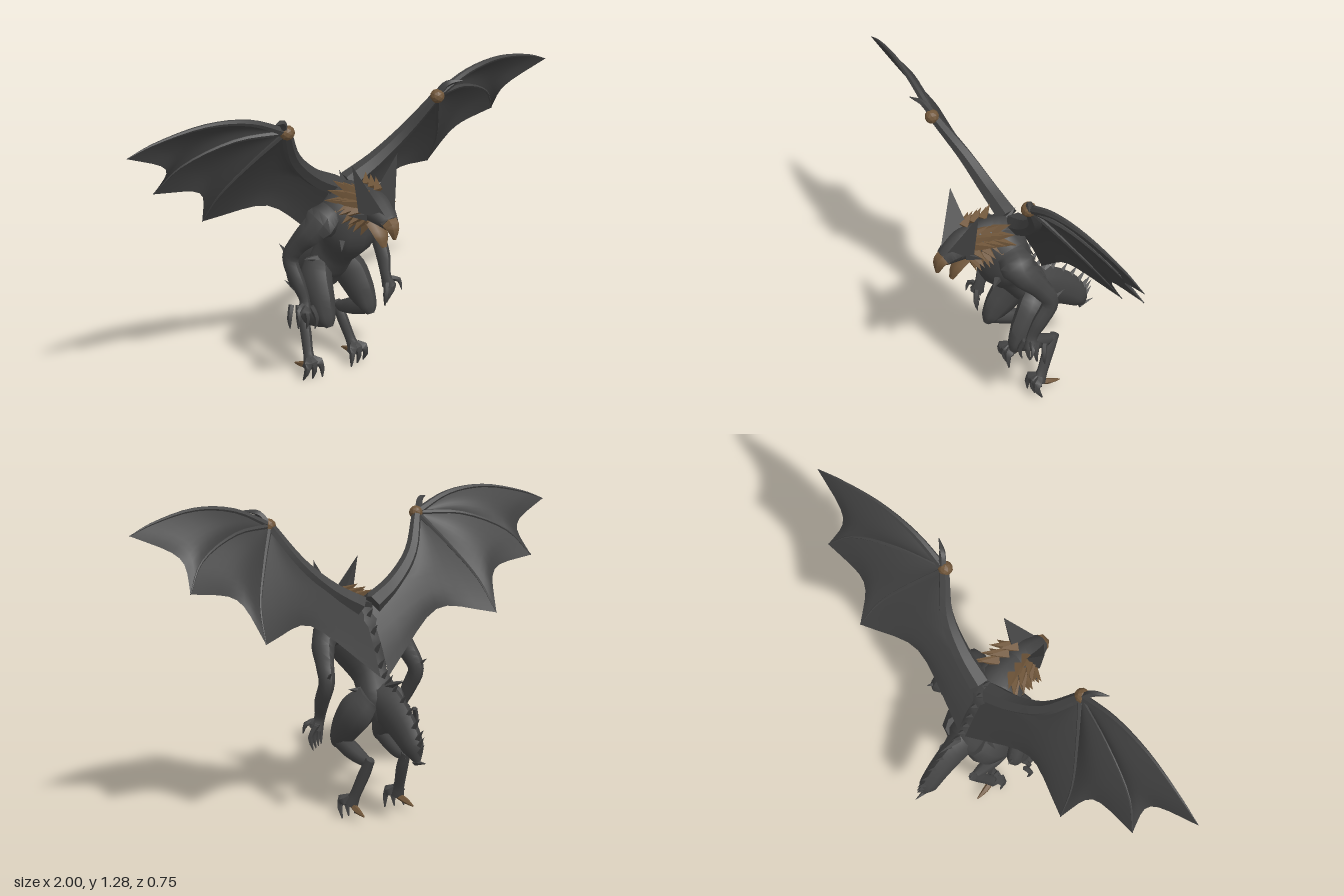
import * as THREE from 'three';
import { toCreasedNormals } from 'three/addons/utils/BufferGeometryUtils.js';
import { ConvexGeometry } from 'three/addons/geometries/ConvexGeometry.js';

const V = (p) => new THREE.Vector3(p[0], p[1], p[2]);

export function createModel() {
  const model = new THREE.Group();
  const paint = (name, color) => Object.assign(new THREE.MeshStandardMaterial({ color }), { name });
  const hide = paint('charcoal hide', 0x444444);
  const horn = paint('brown horn', 0x70563a);
  const skin = paint('wing skin', 0x404040);
  skin.side = THREE.DoubleSide;

  const add = (name, geo, mat, parent = model) => {
    const mesh = new THREE.Mesh(geo, mat);
    mesh.name = name;
    parent.add(mesh);
    return mesh;
  };

  // Tapered limb through sections [x, y, z, sideRadius, depthRadius]
  function limb(name, sections, mat, parent, { sides = 8, steps = 4, ref = [1, 0, 0] } = {}) {
    const path = new THREE.CatmullRomCurve3(sections.map(V));
    const radii = new THREE.CatmullRomCurve3(sections.map((s) => new THREE.Vector3(s[3], s[4] ?? s[3], 0)));
    const rows = (sections.length - 1) * steps;
    const pos = [], idx = [];
    for (let i = 0; i <= rows; i++) {
      const u = i / rows, c = path.getPoint(u), r = radii.getPoint(u), t = path.getTangent(u);
      const s = V(ref).addScaledVector(t, -V(ref).dot(t)).normalize();
      const w = t.clone().cross(s);
      for (let j = 0; j < sides; j++) {
        const a = (j / sides) * Math.PI * 2;
        const p = c.clone().addScaledVector(s, Math.cos(a) * r.x).addScaledVector(w, Math.sin(a) * r.y);
        pos.push(p.x, p.y, p.z);
        if (i < rows) {
          const k = (j + 1) % sides, A = i * sides;
          idx.push(A + j, A + k, A + sides + j, A + k, A + sides + k, A + sides + j);
        }
      }
    }
    for (let j = 1; j < sides - 1; j++) {
      const e = rows * sides;
      idx.push(0, j + 1, j, e, e + j, e + j + 1);
    }
    const geo = new THREE.BufferGeometry();
    geo.setAttribute('position', new THREE.Float32BufferAttribute(pos, 3));
    geo.setIndex(idx);
    return add(name, toCreasedNormals(geo, 0.9), mat, parent);
  }

  // Sharp four-sided spike between two points
  function spike(name, from, to, r, mat, parent) {
    const a = V(from), d = V(to).sub(a), len = d.length();
    const geo = new THREE.ConeGeometry(r, len, 4).translate(0, len / 2, 0);
    const mesh = add(name, toCreasedNormals(geo, 0.3), mat, parent);
    mesh.position.copy(a);
    mesh.quaternion.setFromUnitVectors(new THREE.Vector3(0, 1, 0), d.normalize());
  }

  // Wing skin stretched between two curves that start at the same joint
  function web(name, A, B, pull, parent) {
    const n = 12, m = 8, pos = [], idx = [], joint = A.getPoint(0);
    for (let i = 0; i <= n; i++) for (let j = 0; j <= m; j++) {
      const s = i / n, t = j / m, bow = Math.sin(Math.PI * t);
      const p = A.getPoint(s).lerp(B.getPoint(s), t).lerp(joint, pull * bow * s);
      p.z -= 0.02 * bow * Math.sin(Math.PI * s);
      pos.push(p.x, p.y, p.z);
      if (i < n && j < m) {
        const a = i * (m + 1) + j, b = a + m + 1;
        idx.push(a, b, a + 1, a + 1, b, b + 1);
      }
    }
    const geo = new THREE.BufferGeometry();
    geo.setAttribute('position', new THREE.Float32BufferAttribute(pos, 3));
    geo.setIndex(idx);
    geo.computeVertexNormals();
    add(name, geo, skin, parent);
  }

  // Torso, neck and tail
  limb('torso', [
    [0, 0.86, 0.1, 0.06, 0.05], [0, 0.78, 0.09, 0.13, 0.1], [0, 0.68, 0.07, 0.125, 0.115],
    [0, 0.57, 0.0, 0.065, 0.085], [0, 0.48, -0.06, 0.085, 0.08], [0, 0.4, -0.08, 0.05, 0.05],
  ], hide, model, { sides: 12 });
  limb('neck', [[0, 0.79, 0.05, 0.09, 0.08], [0, 0.82, 0.13, 0.075, 0.07], [0, 0.82, 0.23, 0.06, 0.06]], hide, model);
  limb('tail', [
    [0, 0.5, -0.04, 0.07, 0.08], [0, 0.46, -0.13, 0.055, 0.085], [0, 0.4, -0.22, 0.046, 0.075],
    [0, 0.33, -0.29, 0.038, 0.052], [0, 0.275, -0.32, 0.008, 0.012],
  ], hide, model);
  spike('tailSpur', [0, 0.275, -0.3], [0, 0.285, -0.375], 0.014, hide);

  // Ridge of spines down the back and tail
  const ridge = new THREE.CatmullRomCurve3([
    [0, 0.87, 0.04], [0, 0.74, -0.03], [0, 0.6, -0.08], [0, 0.535, -0.13], [0, 0.465, -0.24], [0, 0.38, -0.32], [0, 0.32, -0.33],
  ].map(V));
  for (let i = 0; i < 14; i++) {
    const u = i / 13, p = ridge.getPoint(u), l = u < 0.45 ? 0.045 : 0.085 - 0.035 * u;
    spike('spine', [0, p.y - 0.015, p.z + 0.015], [0, p.y + l * 0.75, p.z - l * 0.6], 0.018, hide);
  }
  spike('rumpSpine', [0, 0.54, -0.1], [0, 0.585, -0.23], 0.02, hide);

  // Head, beak and jaw
  limb('head', [
    [0, 0.83, 0.17, 0.05, 0.05], [0, 0.825, 0.24, 0.07, 0.06], [0, 0.805, 0.3, 0.055, 0.045], [0, 0.785, 0.34, 0.038, 0.03],
  ], hide, model);
  limb('beak', [[0, 0.79, 0.325, 0.042, 0.032], [0, 0.775, 0.352, 0.034, 0.028], [0, 0.725, 0.367, 0.006, 0.008]], horn, model, { sides: 6 });
  limb('jaw', [[0, 0.76, 0.24, 0.042, 0.02], [0, 0.715, 0.285, 0.034, 0.018], [0, 0.672, 0.305, 0.012, 0.01]], horn, model, { sides: 6 });

  for (const s of [1, -1]) {
    const side = new THREE.Group();
    side.name = s > 0 ? 'leftSide' : 'rightSide';
    model.add(side);
    const M = (list) => list.map(([x, ...rest]) => [x * s, ...rest]);
    const part = (name, list, mat = hide, opt) => limb(name, M(list), mat, side, opt);
    const thorn = (name, a, b, r, mat = hide) => spike(name, ...M([a, b]), r, mat, side);

    // Blade ear and cheek thorn
    add('ear', new ConvexGeometry(M([
      [0.015, 0.8, 0.345], [0.11, 1.015, 0.24], [0.03, 0.88, 0.215], [0.085, 0.82, 0.25], [0.03, 0.82, 0.22],
    ]).map(V)), hide, side);
    thorn('cheekThorn', [0.05, 0.8, 0.26], [0.11, 0.8, 0.21], 0.02);

    // Ruff of horn spikes around the neck
    for (let row = 0; row < 3; row++) for (let i = 0; i < 7; i++) {
      const a = -1.35 + i * 0.37 + row * 0.1, c = Math.cos(a), h = Math.sin(a), z = 0.14 + row * 0.045;
      thorn('ruffSpike', [c * 0.06, 0.82 + h * 0.06, z],
        [c * 0.125, 0.81 + h * 0.115, z - 0.06 + (h < 0 ? 0.05 : 0)], 0.024, horn);
    }

    // Arm and clawed hand
    part('arm', [
      [0.09, 0.77, 0.09, 0.05, 0.06], [0.165, 0.72, 0.08, 0.05, 0.06], [0.205, 0.64, 0.02, 0.036, 0.042], [0.22, 0.57, -0.015, 0.03, 0.036],
      [0.215, 0.48, 0.03, 0.026, 0.034], [0.205, 0.41, 0.06, 0.02, 0.024], [0.215, 0.365, 0.07, 0.028, 0.032],
    ]);
    for (let i = 0; i < 4; i++) {
      const x = 0.19 + i * 0.018, z = 0.095 - i * 0.02;
      part('finger', [[x, 0.39, z - 0.01, 0.012], [x + (i - 1.3) * 0.012, 0.34, z + 0.005, 0.011],
        [x + (i - 1.5) * 0.008, 0.29, z - 0.005, 0.002]], hide, { sides: 5, steps: 2 });
    }
    part('thumb', [[0.21, 0.4, 0.07, 0.012], [0.255, 0.385, 0.085, 0.011], [0.258, 0.345, 0.1, 0.002]], hide, { sides: 5, steps: 2 });
    thorn('elbowThorn', [0.22, 0.58, -0.02], [0.235, 0.62, -0.07], 0.016);
    thorn('hipThorn', [0.06, 0.52, -0.03], [0.135, 0.535, -0.04], 0.018);
    thorn('chestThorn', [0.08, 0.66, 0.14], [0.12, 0.645, 0.19], 0.018);

    // Digitigrade leg
    part('thigh', [
      [0.05, 0.5, -0.07, 0.05, 0.06], [0.085, 0.44, -0.03, 0.06, 0.085], [0.1, 0.36, 0.03, 0.05, 0.07],
      [0.105, 0.3, 0.075, 0.036, 0.036], [0.105, 0.275, 0.09, 0.015, 0.015],
    ]);
    part('shin', [[0.105, 0.31, 0.08, 0.03, 0.035], [0.1, 0.28, 0.0, 0.034, 0.038], [0.09, 0.25, -0.08, 0.024, 0.028], [0.085, 0.245, -0.135, 0.01, 0.012]]);
    part('shank', [[0.088, 0.26, -0.125, 0.018, 0.02], [0.095, 0.19, -0.09, 0.022, 0.026], [0.108, 0.11, -0.055, 0.02, 0.024], [0.115, 0.06, -0.03, 0.028, 0.03]]);
    for (let i = -1; i <= 1; i++) {
      part('toe', [[0.115 + i * 0.01, 0.09, -0.03, 0.014], [0.115 + i * 0.034, 0.06, 0.0, 0.014],
        [0.115 + i * 0.04, 0.003, -0.012 - i * 0.012, 0.003]], hide, { sides: 5, steps: 3 });
    }
    part('backToe', [[0.113, 0.055, -0.035, 0.014], [0.12, 0.042, -0.08, 0.013], [0.122, 0.03, -0.13, 0.003]], horn, { sides: 5, steps: 2 });

    // Wing bones: arm, leading finger and two inner fingers
    const W = [0.36, 1.18, 0.17];
    const lead = [W, [0.52, 1.25, 0.17], [0.7, 1.27, 0.155], [0.9, 1.235, 0.125], [1, 1.2, 0.11]];
    const mid = [W, [0.55, 1.17, 0.11], [0.74, 1.09, 0.04], [0.825, 0.985, -0.02]];
    const inner = [W, [0.45, 1.05, 0.07], [0.53, 0.91, -0.03], [0.56, 0.78, -0.115]];
    const armLine = [W, [0.27, 1.03, 0.09], [0.15, 0.92, 0.05], [0.03, 0.85, 0.03], [0.02, 0.7, -0.05], [0.02, 0.58, -0.1]];
    const curve = (l) => new THREE.CatmullRomCurve3(M(l).map(V));
    const bone = (name, line, r0, r1) => part(name,
      line.map((p, i) => [...p, r0 + ((r1 - r0) * i) / (line.length - 1)]), hide, { sides: 6, ref: [0, 0, 1] });
    bone('wingArm', armLine.slice(0, 4), 0.02, 0.045);
    bone('leadFinger', lead, 0.017, 0.001);
    bone('midFinger', mid, 0.012, 0.002);
    bone('innerFinger', inner, 0.012, 0.002);
    web('outerWeb', curve(lead), curve(mid), 0.17, side);
    web('middleWeb', curve(mid), curve(inner), 0.2, side);
    web('bodyWeb', curve(inner), curve(armLine), 0.26, side);

    // Wing joint with hooked claw
    const knob = add('wingJoint', toCreasedNormals(new THREE.IcosahedronGeometry(0.029, 1), 0.3), horn, side);
    knob.position.set(W[0] * s, W[1], W[2] + 0.005);
    part('wingClaw', [[0.37, 1.19, 0.17, 0.016], [0.395, 1.23, 0.195, 0.013], [0.445, 1.24, 0.225, 0.002]], hide, { sides: 5, ref: [0, 0, 1] });
  }
  return model;
}
